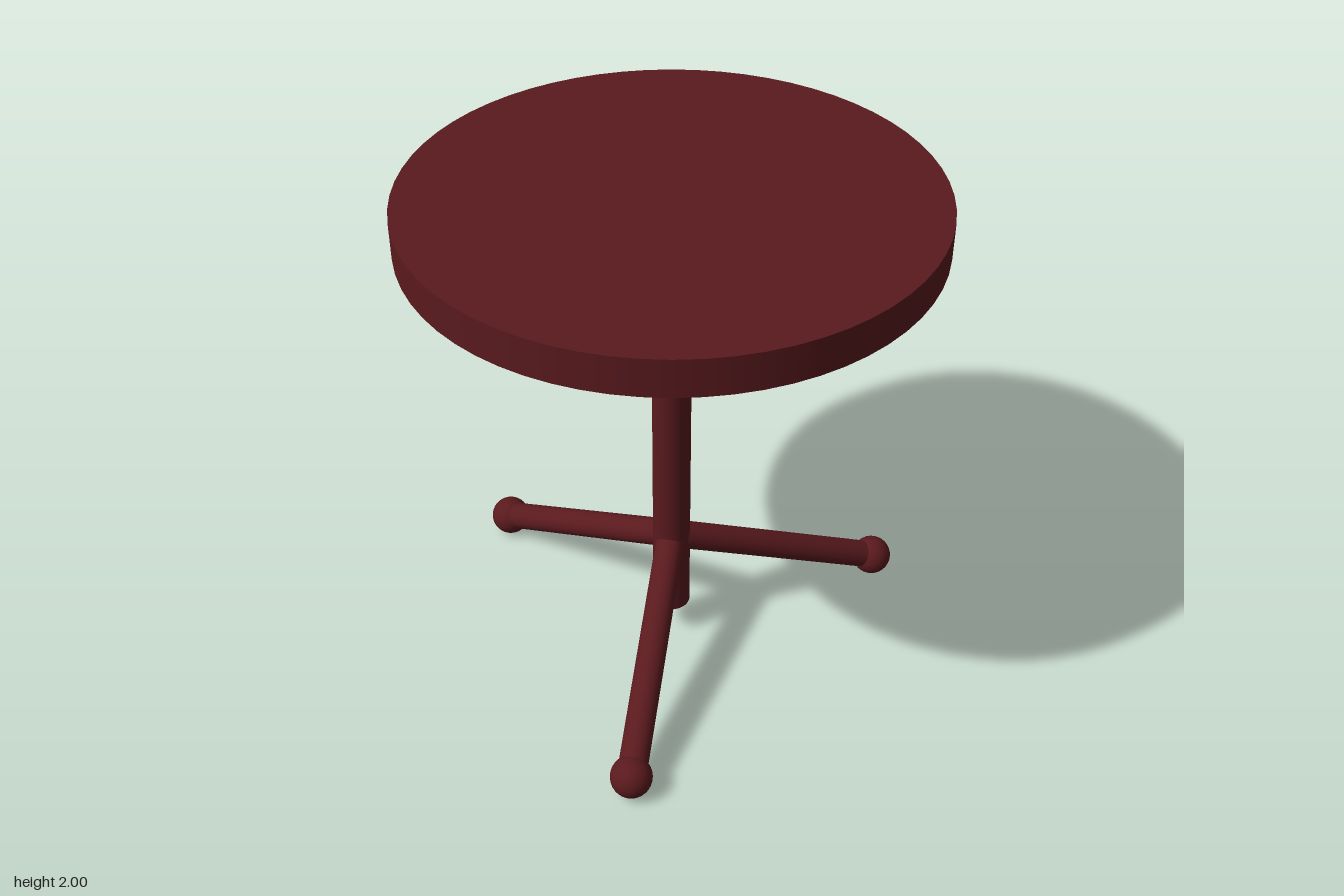
import * as THREE from 'three';

export function createModel() {
  const model = new THREE.Group();
  model.name = 'pedestalTable';
  const material = new THREE.MeshStandardMaterial({ color: 0x5a1a1e });

  const add = (name, geometry, parent, x, y, z) => {
    const mesh = new THREE.Mesh(geometry, material);
    mesh.name = name;
    mesh.position.set(x, y, z);
    parent.add(mesh);
    return mesh;
  };

  // Everything is arranged around the post's axis, slightly off centre
  const table = new THREE.Group();
  table.name = 'table';
  table.position.x = 0.01;
  model.add(table);

  // Round top and central post
  add('tableTop', new THREE.CylinderGeometry(0.955, 0.955, 0.14, 64), table, 0, 1.93, 0);
  add('post', new THREE.CylinderGeometry(0.073, 0.073, 1.725, 32), table, 0, 0.9975, 0);

  // Three sloping legs, each ending in a ball foot
  const hub = new THREE.Vector3(0, 0.48, 0);
  const foot = new THREE.Vector3(0.903, 0.079, 0);
  const direction = foot.clone().sub(hub);
  const middle = hub.clone().add(foot).multiplyScalar(0.5);
  const legGeometry = new THREE.CylinderGeometry(0.055, 0.055, direction.length(), 32);
  const footGeometry = new THREE.SphereGeometry(0.079, 32, 20);
  const up = new THREE.Vector3(0, 1, 0);
  ['rightLeg', 'backLeg', 'frontLeg'].forEach((name, i) => {
    const leg = new THREE.Group();
    leg.name = name;
    leg.rotation.y = Math.PI - i * Math.PI * 2 / 3;
    table.add(leg);
    const bar = add(name + 'Bar', legGeometry, leg, middle.x, middle.y, 0);
    bar.quaternion.setFromUnitVectors(up, direction.clone().normalize());
    add(name + 'Foot', footGeometry, leg, foot.x, foot.y, 0);
  });

  return model;
}
